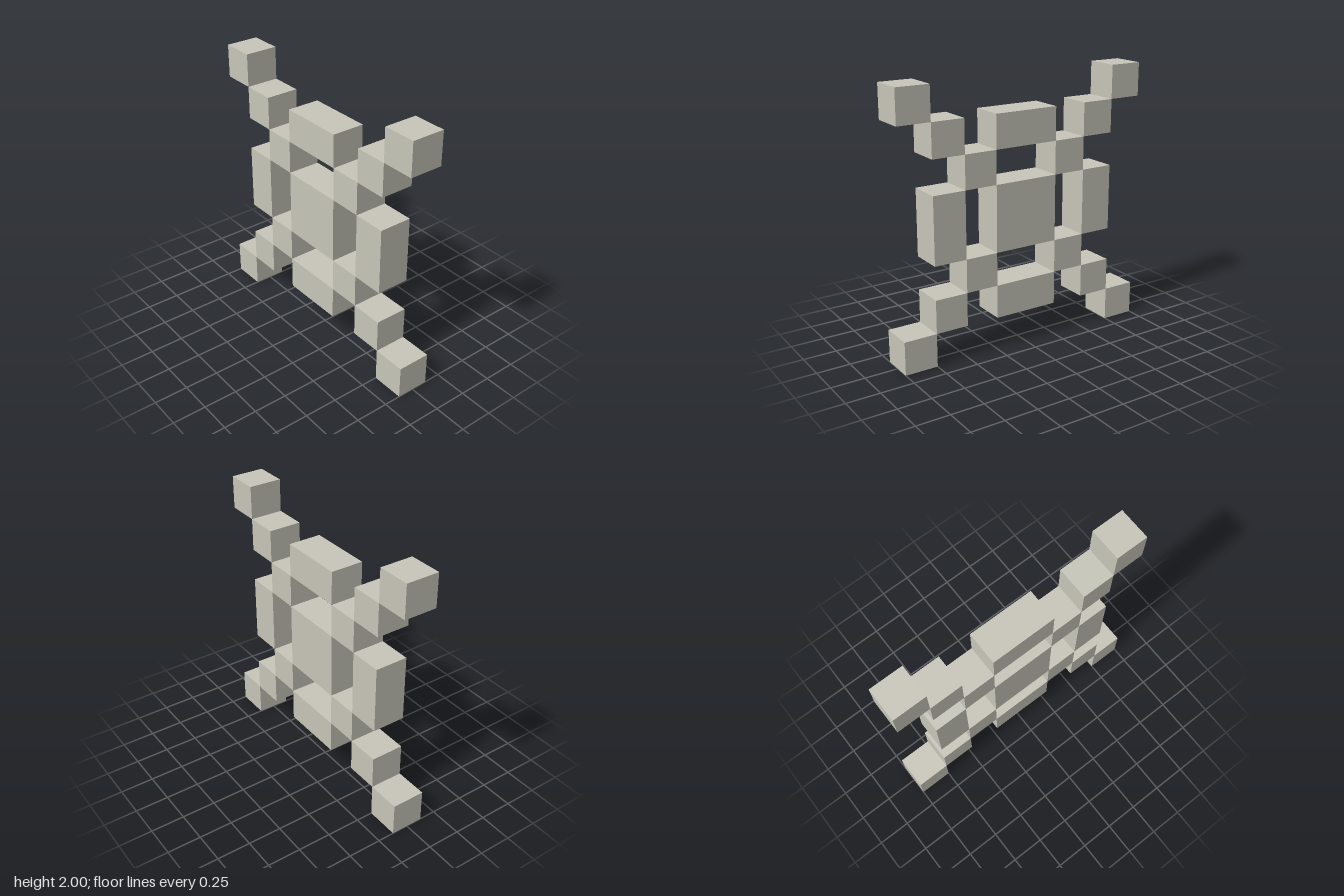
import * as THREE from 'three';

const UNIT = 0.25; // edge of one cube

export function createModel() {
  const model = new THREE.Group();
  model.name = 'blockLattice';
  const stone = new THREE.MeshStandardMaterial({ color: 0xc8c6b9 });
  stone.name = 'warmGrey';

  // Adds a block one unit deep; sizes and centre in units, measured from the middle
  const addBlock = (name, width, height, x, y) => {
    const block = new THREE.Mesh(new THREE.BoxGeometry(width * UNIT, height * UNIT, UNIT), stone);
    block.name = name;
    block.position.set(x * UNIT, 1 + y * UNIT, 0);
    model.add(block);
  };

  // Centre block
  addBlock('centreBlock', 2, 2, 0, 0);

  // Bars on the four sides
  addBlock('topBar', 2, 1, 0, 2.5);
  addBlock('bottomBar', 2, 1, 0, -2.5);
  addBlock('leftBar', 1, 2, 2.5, 0);
  addBlock('rightBar', 1, 2, -2.5, 0);

  // Diagonal arms of three cubes touching edge to edge
  for (const [side, sx] of [['Left', 1], ['Right', -1]]) {
    for (const [level, sy] of [['upper', 1], ['lower', -1]]) {
      [['Inner', 1.5], ['Middle', 2.5], ['Outer', 3.5]].forEach(([place, d]) =>
        addBlock(`${level}${side}${place}Cube`, 1, 1, sx * d, sy * d));
    }
  }

  return model;
}
